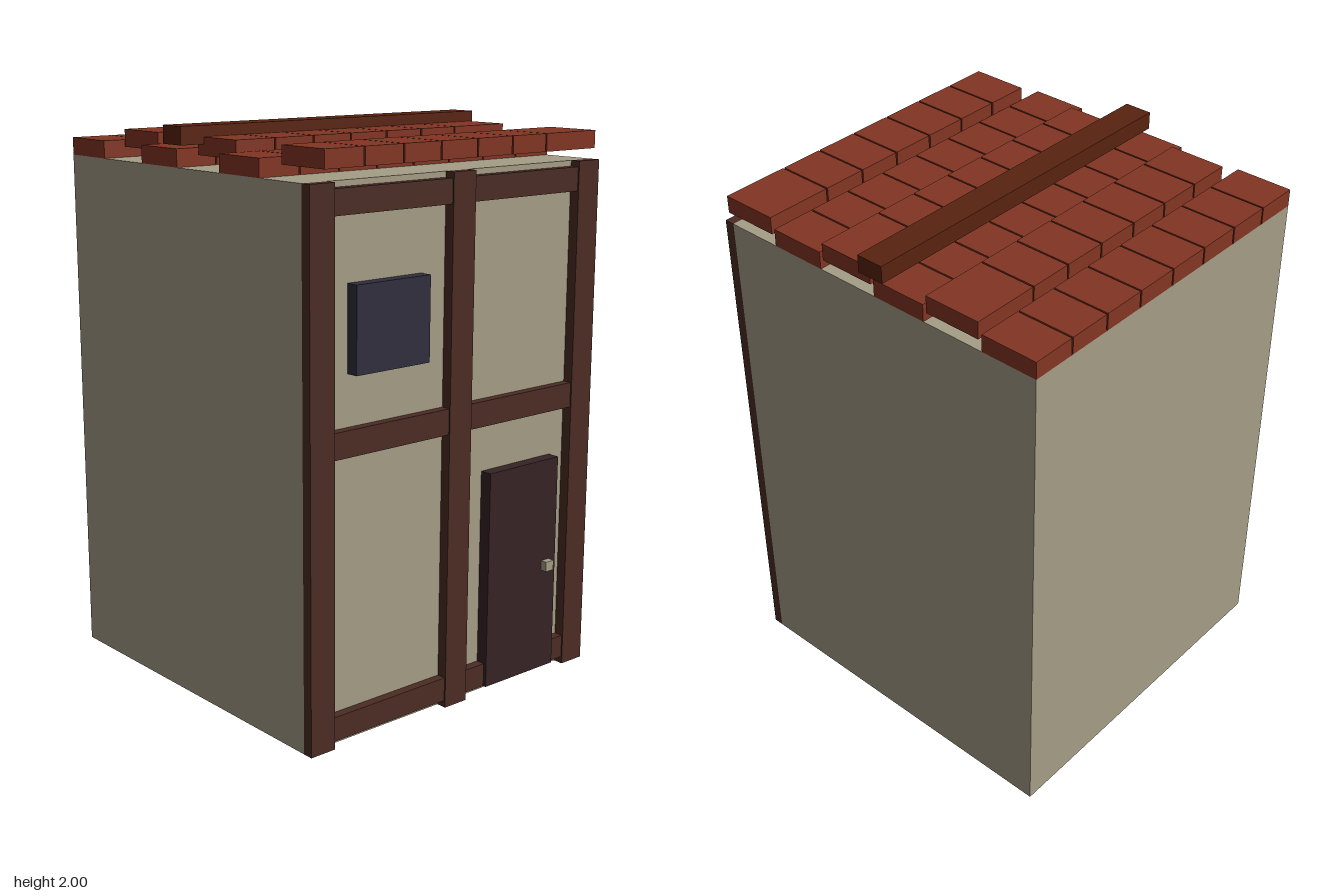
import * as THREE from 'three';

const mat = (name, color) => {
  const m = new THREE.MeshStandardMaterial({ color });
  m.name = name;
  return m;
};

export function createModel() {
  const house = new THREE.Group();
  house.name = 'house';
  const plaster = mat('plaster', 0xa59d86);
  const timber = mat('timber', 0x4b2c24);
  const clay = mat('clay', 0x823523);
  const ridgeWood = mat('ridgeWood', 0x592310);
  const glass = mat('glass', 0x2f2e3d);
  const doorWood = mat('doorWood', 0x372325);

  // Box given by its limits on each axis
  const box = (name, material, [x0, x1], [y0, y1], [z0, z1], parent = house) => {
    const mesh = new THREE.Mesh(new THREE.BoxGeometry(x1 - x0, y1 - y0, z1 - z0), material);
    mesh.position.set((x0 + x1) / 2, (y0 + y1) / 2, (z0 + z1) / 2);
    mesh.name = name;
    parent.add(mesh);
  };

  const left = -0.655, right = 0.652, top = 1.862;
  box('walls', plaster, [left, right], [0, top], [-0.69, 0.622]);

  // Timber frame on the front
  const frame = new THREE.Group();
  frame.name = 'timberFrame';
  house.add(frame);
  for (const [x0, x1] of [[left, -0.555], [-0.053, 0.048], [0.55, right]])
    box('post', timber, [x0, x1], [0, top], [0.622, 0.66], frame);
  for (const [y0, y1] of [[0.025, 0.11], [0.985, 1.075], [1.758, 1.842]])
    for (const [x0, x1] of [[-0.555, -0.053], [0.048, 0.55]])
      box('beam', timber, [x0, x1], [y0, y1], [0.622, 0.655], frame);

  // Window, door and knob
  box('window', glass, [-0.472, -0.157], [1.25, 1.54], [0.622, 0.667]);
  box('door', doorWood, [0.14, 0.483], [0.025, 0.815], [0.622, 0.667]);
  box('doorKnob', plaster, [0.411, 0.449], [0.402, 0.438], [0.667, 0.692]);

  // Roof tiles: alternating low and raised rows, the raised ones offset by half a tile
  const roof = new THREE.Group();
  roof.name = 'roofTiles';
  house.add(roof);
  const pitch = 0.1638, gap = 0.006;
  for (let row = 0; row < 6; row++) {
    const raised = row % 2 === 1;
    const z0 = -0.69 + row * 0.2235;
    const y0 = raised ? 1.9 : top;
    const start = raised ? left + 0.078 : left;
    const count = raised ? 7 : 8;
    for (let i = 0; i < count; i++) {
      const x0 = start + i * pitch;
      const x1 = i === count - 1 ? right : x0 + pitch - gap;
      box('tile', clay, [x0, x1], [y0, y0 + 0.062], [z0, z0 + 0.21], roof);
    }
  }
  box('ridgeBeam', ridgeWood, [-0.67, 0.667], [1.938, 2], [-0.088, 0.014]);

  return house;
}
